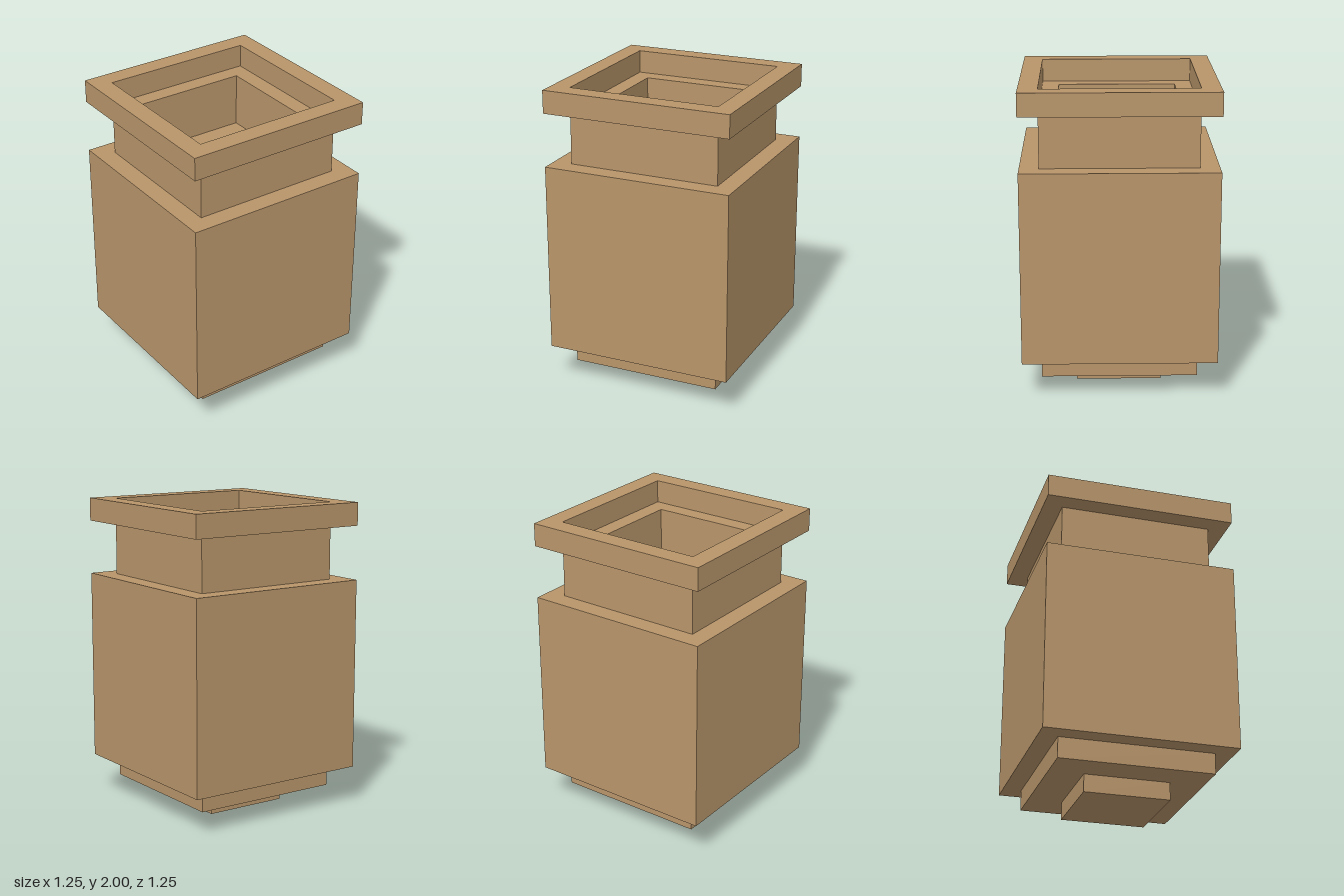
import * as THREE from 'three';

export function createModel() {
  const group = new THREE.Group();
  group.name = 'squareJar';
  const material = new THREE.MeshStandardMaterial({ color: 0xb8956a, flatShading: true });

  const add = (name, geometry, y) => {
    const mesh = new THREE.Mesh(geometry, material);
    mesh.name = name;
    mesh.position.y = y;
    group.add(mesh);
  };

  // Solid square block from y0 to y1
  const block = (name, half, y0, y1) =>
    add(name, new THREE.BoxGeometry(half * 2, y1 - y0, half * 2), (y0 + y1) / 2);

  const square = (Type, h) =>
    new Type([[-h, -h], [h, -h], [h, h], [-h, h]].map(([x, y]) => new THREE.Vector2(x, y)));

  // Square collar with a square opening from y0 to y1
  const collar = (name, outer, inner, y0, y1) => {
    const shape = square(THREE.Shape, outer);
    shape.holes.push(square(THREE.Path, inner));
    const geometry = new THREE.ExtrudeGeometry(shape, { depth: y1 - y0, bevelEnabled: false });
    geometry.rotateX(-Math.PI / 2);
    add(name, geometry, y0);
  };

  // Stepped base and body
  block('foot', 0.278, 0, 0.115);
  block('base', 0.5, 0.115, 0.25);
  block('body', 0.623, 0.25, 1.5);

  // Open neck and wider rim
  collar('neck', 0.5, 0.388, 1.5, 1.85);
  collar('rim', 0.623, 0.498, 1.85, 2);

  return group;
}
